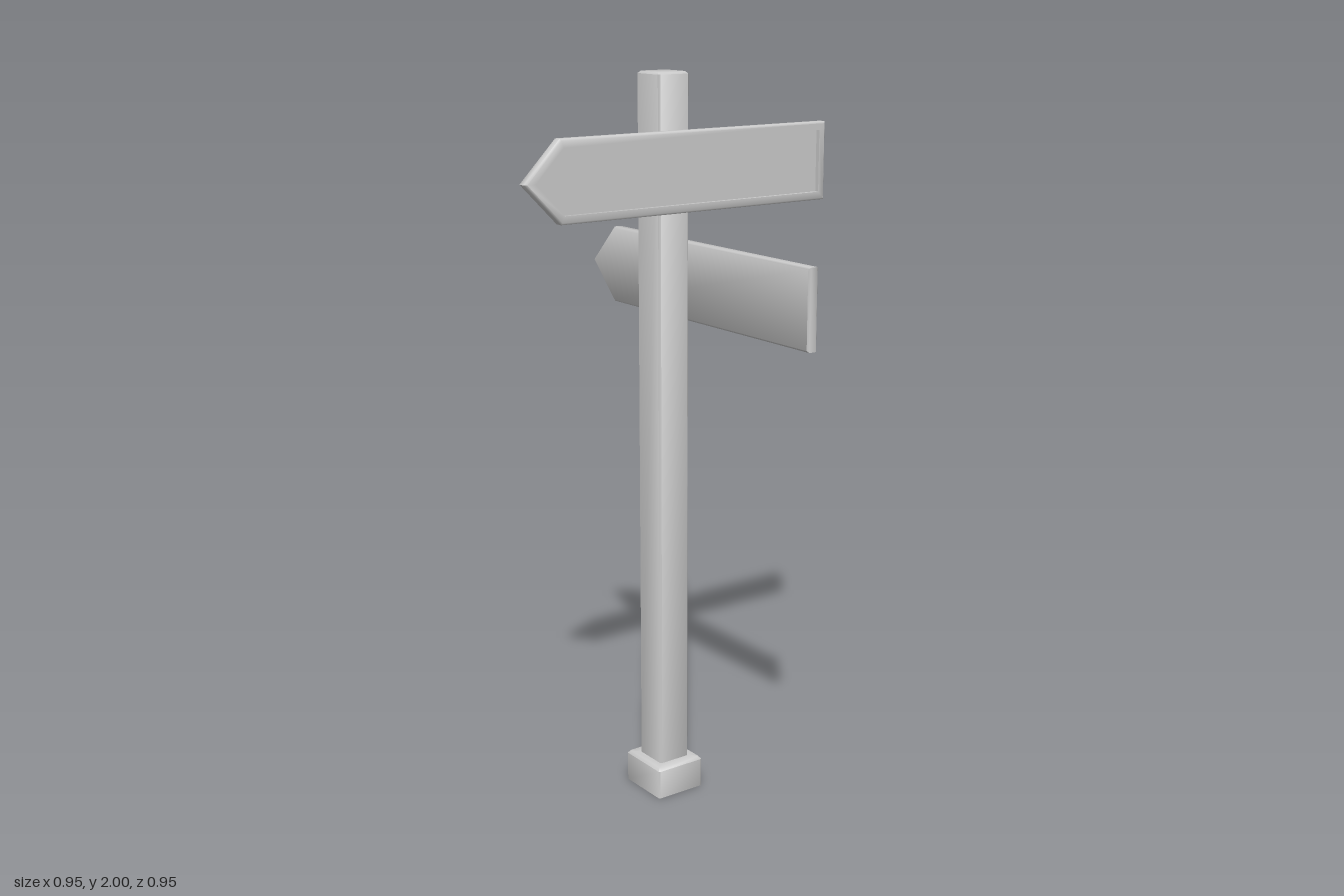
import * as THREE from 'three';
import { toCreasedNormals } from 'three/addons/utils/BufferGeometryUtils.js';

const material = new THREE.MeshStandardMaterial({ color: 0xcccccc, side: THREE.DoubleSide });

// Joins matching convex cross-sections (counter-clockwise seen from the last one)
function loft(rings, capStart, capEnd) {
  const n = rings[0].length;
  const index = [];
  for (let r = 0; r < rings.length - 1; r++) {
    for (let i = 0; i < n; i++) {
      const a = r * n + i, b = r * n + (i + 1) % n;
      index.push(a, b, b + n, a, b + n, a + n);
    }
  }
  const last = (rings.length - 1) * n;
  for (let i = 1; i < n - 1; i++) {
    if (capStart) index.push(0, i + 1, i);
    if (capEnd) index.push(last, last + i, last + i + 1);
  }
  const geometry = new THREE.BufferGeometry();
  geometry.setAttribute('position', new THREE.Float32BufferAttribute(rings.flat(2), 3));
  geometry.setIndex(index);
  return toCreasedNormals(geometry, THREE.MathUtils.degToRad(50));
}

// Horizontal rectangle with chamfered corners
function squareRing(hx, hz, c, y) {
  return [
    [hx, y, hz - c], [hx, y, c - hz], [hx - c, y, -hz], [c - hx, y, -hz],
    [-hx, y, c - hz], [-hx, y, hz - c], [c - hx, y, hz], [hx - c, y, hz],
  ];
}

// Arrow outline pointing to -x, moved inwards by d
function arrowRing(d, z) {
  const h = 0.105 - d, end = 0.473 - d;
  const shoulder = -0.372 + d * 0.414, tip = -0.476 + d * 1.414;
  return [[end, -h, z], [end, h, z], [shoulder, h, z], [tip, 0, z], [shoulder, -h, z]];
}

function addMesh(group, name, geometry) {
  const mesh = new THREE.Mesh(geometry, material);
  mesh.name = name;
  group.add(mesh);
  return mesh;
}

export function createModel() {
  const group = new THREE.Group();
  group.name = 'signpost';

  // Hollow foot, open below
  addMesh(group, 'base', loft([
    squareRing(0.08, 0.074, 0.004, 0),
    squareRing(0.08, 0.074, 0.004, 0.082),
    squareRing(0.073, 0.067, 0.004, 0.09),
    squareRing(0.05, 0.048, 0.005, 0.09),
  ], false, false)).position.x = -0.07;

  // Square post with softened edges
  addMesh(group, 'post', loft([
    squareRing(0.05, 0.048, 0.005, 0.09),
    squareRing(0.05, 0.048, 0.005, 1.994),
    squareRing(0.044, 0.042, 0.005, 2),
  ], false, true)).position.x = -0.07;

  // Arrow board with a raised rim around a sunken face
  const board = loft([
    arrowRing(0.005, 0),
    arrowRing(0, 0.005),
    arrowRing(0, 0.025),
    arrowRing(0.005, 0.03),
    arrowRing(0.022, 0.03),
    arrowRing(0.022, 0.018),
  ], true, true);

  const upper = addMesh(group, 'upperSign', board);
  upper.rotation.y = Math.PI / 2;
  upper.position.set(-0.006, 1.75, 0);

  const lower = addMesh(group, 'lowerSign', board);
  lower.rotation.x = Math.PI;
  lower.position.set(0, 1.455, -0.045);

  return group;
}
